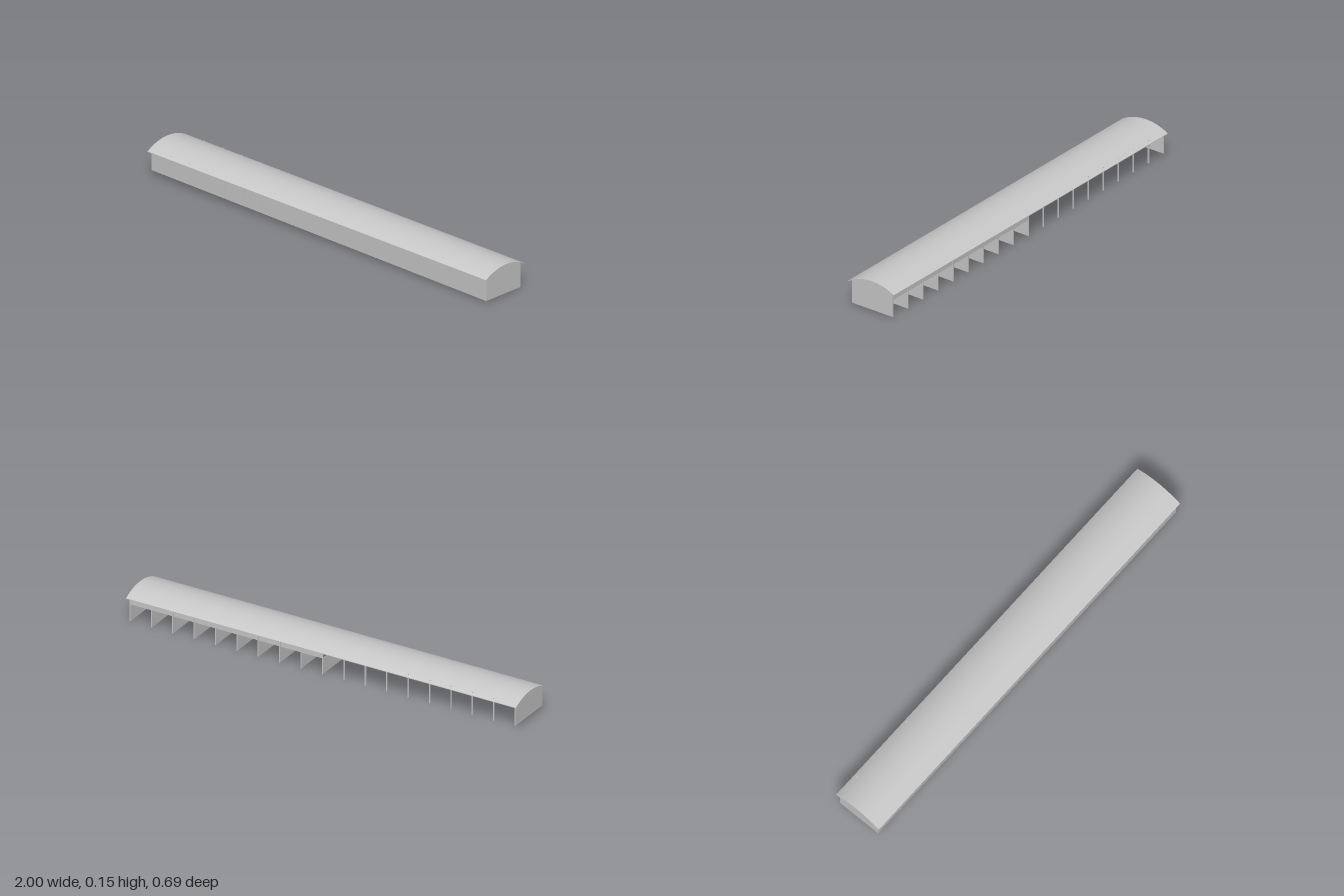
import * as THREE from 'three';
import { toCreasedNormals } from 'three/addons/utils/BufferGeometryUtils.js';

const HALF_L = 0.985, HALF_W = 0.11, BAYS = 18, BAY = (2 * HALF_L) / BAYS;
const ROOF_L = 0.9975, ROOF_W = 0.123, EAVE = 0.115, CREST = 0.149, SKIN = 0.003;
const SAG = CREST - EAVE, R = (ROOF_W ** 2 + SAG ** 2) / (2 * SAG);

// Height of the sloping ground and of the roof's outer curve
const ground = (u, w) => 0.0135 - 0.0085 * (u / HALF_L) + 0.003 * (w / HALF_W);
const roofY = (w) => CREST - R + Math.sqrt(R * R - w * w);

export function createModel() {
  const grey = new THREE.MeshStandardMaterial({ color: 0xc8c8c8, side: THREE.DoubleSide });
  grey.name = 'pale grey';
  const model = new THREE.Group();
  model.name = 'longShed';
  const shed = new THREE.Group();
  shed.name = 'shed';
  shed.rotation.y = -THREE.MathUtils.degToRad(12.9);
  model.add(shed);

  const add = (name, geometry) => {
    const mesh = new THREE.Mesh(geometry, grey);
    mesh.name = name;
    shed.add(mesh);
  };

  // Box centred on (u, w); without a bottom height it follows the ground
  const block = (name, u, w, length, depth, top, bottom, sink = 0) => {
    const g = new THREE.BoxGeometry(length, 1, depth);
    const p = g.attributes.position;
    for (let i = 0; i < p.count; i++) {
      const x = p.getX(i) + u, z = p.getZ(i) + w;
      const low = bottom ?? Math.max(0, ground(x, z) - sink);
      p.setXYZ(i, x, p.getY(i) > 0 ? top : low, z);
    }
    g.computeVertexNormals();
    add(name, g);
  };

  // Cross-section swept along the shed's length
  const sweep = (shape, length, u) => {
    const g = new THREE.ExtrudeGeometry(shape, { depth: length, bevelEnabled: false });
    g.translate(0, 0, -length / 2).rotateY(-Math.PI / 2).translate(u, 0, 0);
    return toCreasedNormals(g, 0.5);
  };
  const arc = (half, drop, n = 24) => Array.from({ length: n + 1 }, (_, i) => {
    const w = -half + (2 * half * i) / n;
    return new THREE.Vector2(w, roofY(w) - drop);
  });

  // Curved roof
  const roof = new THREE.Shape([...arc(ROOF_W, 0), ...arc(ROOF_W, SKIN).reverse()]);
  add('roof', sweep(roof, 2 * ROOF_L, 0));

  // Arched end walls
  for (const side of [-1, 1]) {
    const u = side * HALF_L;
    const gable = new THREE.Shape([
      new THREE.Vector2(HALF_W, ground(u, HALF_W)),
      new THREE.Vector2(-HALF_W, ground(u, -HALF_W)),
      ...arc(HALF_W, SKIN * 0.7),
    ]);
    add(side > 0 ? 'leftEndWall' : 'rightEndWall', sweep(gable, 0.004, u));
  }

  // Long closed front and the header above the stalls
  block('frontWall', 0, HALF_W - 0.002, 2 * HALF_L, 0.004, 0.12);
  block('stallHeader', HALF_L / 2, -HALF_W + 0.002, HALF_L, 0.003, 0.12, 0.083);

  // Posts along the open back, with stall dividers in the left half
  for (let k = 0; k <= BAYS; k++) {
    const u = HALF_L - k * BAY;
    const top = k > 12 ? 0.125 : 0.12;
    if (k > 0 && k < BAYS) block('backPost', u, -HALF_W + 0.001, 0.005, 0.005, top, undefined, 0.003);
    if (k > 0 && k <= BAYS / 2) block('stallDivider', u, 0, 0.003, 2 * HALF_W - 0.008, 0.083, undefined, 0.003);
    if (k > 9 && k < BAYS) block('frontPost', u, HALF_W - 0.005, 0.004, 0.004, top);
  }

  // Flush shutters in the right half of the front wall
  for (const k of [1, 3, 4, 5, 8]) {
    block('shutter', -HALF_L + (k + 0.5) * BAY, HALF_W, BAY - 0.003, 0.002, 0.11, 0.055);
  }
  return model;
}
